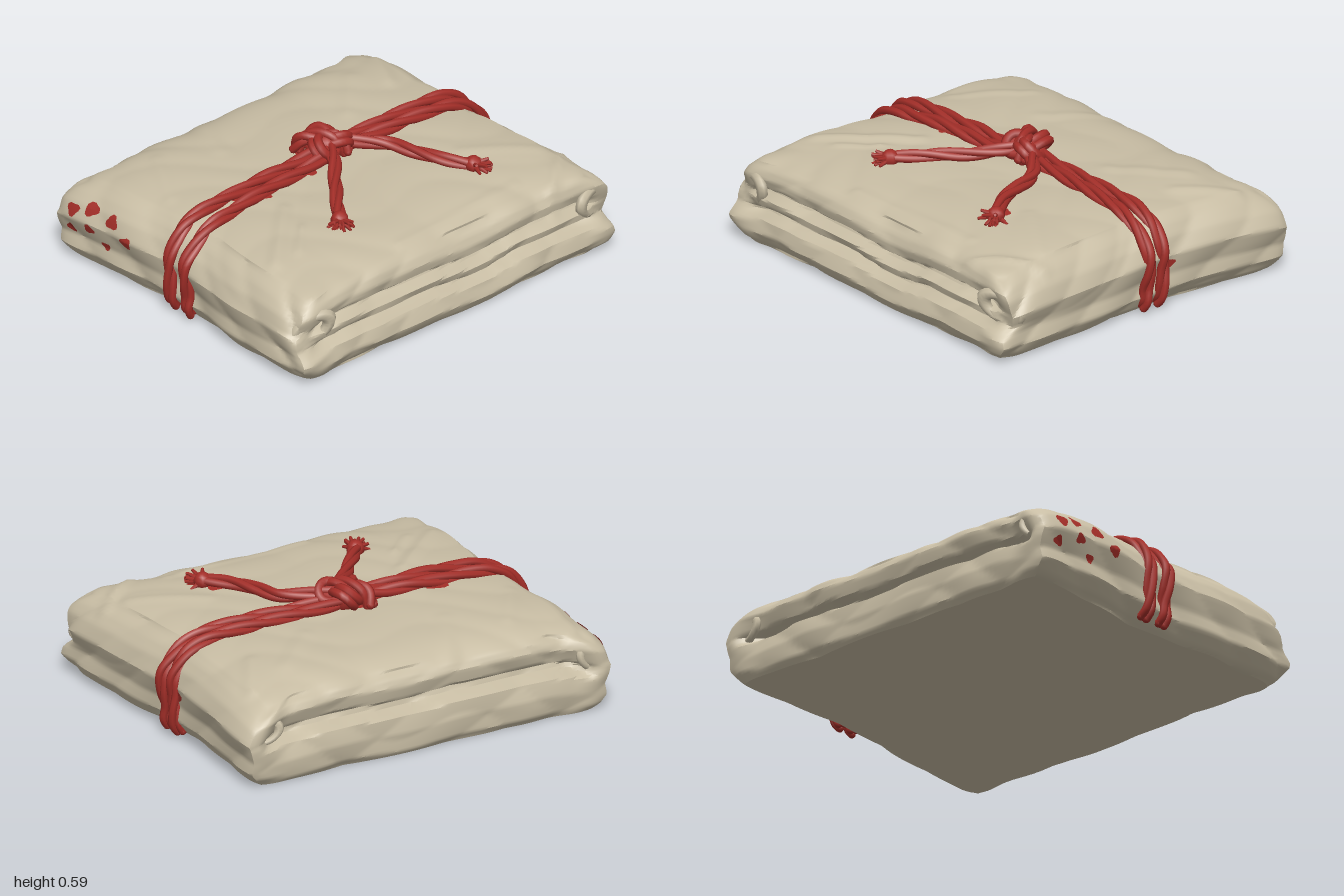
import * as THREE from 'three';
import { mergeVertices, mergeGeometries, toCreasedNormals } from 'three/addons/utils/BufferGeometryUtils.js';

const V = (x, y, z) => new THREE.Vector3(x, y, z);
const { sin, cos, abs, max, pow, PI } = Math;
const smooth = THREE.MathUtils.smoothstep;
const lerp = THREE.MathUtils.lerp;

// Outline of each side as [height fraction, distance from centre]
const SIDE = [[0, .88], [.05, .91], [.2, .955], [.36, .945], [.44, .955], [.6, .975], [.78, .94], [.9, .895], [1, .835]];
const FRONT = [[0, .79], [.06, .82], [.18, .85], [.35, .83], [.39, .77], [.43, .76], [.48, .81], [.58, .82], [.62, .765], [.66, .755], [.7, .79], [.82, .80], [.93, .78], [1, .74]];
const BACK = [[0, .80], [.08, .825], [.3, .835], [.5, .82], [.55, .74], [.62, .73], [.67, .78], [.85, .80], [.94, .78], [1, .74]];
const FRONT_CORNER = [[0, .81], [.1, .845], [.3, .85], [.45, .80], [.6, .815], [.85, .805], [1, .76]];
const BACK_CORNER = [[0, .81], [.1, .835], [.5, .85], [.8, .84], [.92, .815], [1, .77]];
// Raised wrinkles on the top: x0, z0, x1, z1, height, width
const RIDGES = [
  [-.8, .47, -.45, .15, .014, .05], [-.66, .47, -.5, .32, .01, .03], [-.25, .7, .5, .66, .01, .04],
  [.62, .78, .9, .55, .014, .04], [.5, .3, .8, .5, .008, .05], [-.3, -.45, -.15, -.75, .007, .06],
  [.35, -.3, .6, -.55, .008, .06], [-.75, -.3, -.55, -.6, .008, .05], [.7, -.4, .85, -.65, .01, .05]];

function sample(table, t) {
  t = THREE.MathUtils.clamp(t, 0, 1);
  let i = 0;
  while (i < table.length - 2 && t > table[i + 1][0]) i++;
  const [t0, v0] = table[i], [t1, v1] = table[i + 1];
  return lerp(v0, v1, (t - t0) / (t1 - t0));
}

// Soft folds with sharp ridges
const crumple = (a, t, c) =>
  abs(sin(5.1 * a + 3.3 * c + 4 * t + sin(4 * c))) + abs(sin(7.7 * c - 4.1 * a + 5 * t + 1.3 * sin(6 * a))) - 1.25;

function ridge(x, z) {
  let h = 0;
  for (const [x0, z0, x1, z1, k, w] of RIDGES) {
    const dx = x1 - x0, dz = z1 - z0;
    const s = THREE.MathUtils.clamp(((x - x0) * dx + (z - z0) * dz) / (dx * dx + dz * dz), 0, 1);
    h += k * max(0, 1 - Math.hypot(x - x0 - s * dx, z - z0 - s * dz) / w);
  }
  return h;
}

// Maps a block (a, c from -1 to 1, t from 0 to 1) to the folded cloth parcel
function cloth(a, t, c) {
  const n = crumple(a, t, c);
  const edge = pow(abs(a * c), 14);
  const wob = .025 * sin(5 * a + 1) + .015 * sin(11 * a);
  const end = smooth(abs(a), .78, .95);
  const face = c > 0 ? sample(FRONT, t + wob) : sample(BACK, t + wob * .7 + .1 * pow(abs(a), 4));
  const corner = sample(c > 0 ? FRONT_CORNER : BACK_CORNER, t + wob * .5);
  const wild = 1 + 1.8 * smooth(c, .7, 1) * end;
  // The cord pinches the sides a little
  const pinch = .015 * Math.exp(-pow((c + .08) / .25, 2));
  let hx = sample(SIDE, t + .02 * sin(4 * c)) - .015 * (1 - c * c) - pinch + .009 * n * wild;
  hx += a < 0 ? .025 * smooth(c, .1, .5) : .018 * smooth(-c, .4, .85) + .01 * smooth(c, .3, .8);
  const hz = lerp(face, corner, end) + .009 * n * wild + (c < 0 ? .008 * end : 0);
  const x = a * hx * (1 - .022 * edge), z = c * hz * (1 - .022 * edge);
  const drop = c > 0 ? .05 * pow(c, 5) : .02 * c * c + .04 * pow(c, 8);
  const top = .452 - drop - .03 * pow(a, 6) + .005 * n * wild + ridge(x, z);
  return V(x, t * top, z);
}

function clothGeometry() {
  let g = new THREE.BoxGeometry(2, 1, 2, 76, 36, 64);
  g.deleteAttribute('uv');
  g.deleteAttribute('normal');
  g.clearGroups();
  g = mergeVertices(g);
  const p = g.attributes.position;
  for (let i = 0; i < p.count; i++) {
    const q = cloth(p.getX(i), p.getY(i) + .5, p.getZ(i));
    p.setXYZ(i, q.x, q.y, q.z);
  }
  return toCreasedNormals(g, .6);
}

// Three strands loosely twisted around a path
function ropeGeometry(points, r = .03, closed = false) {
  const path = new THREE.CatmullRomCurve3(points, closed);
  const len = path.getLength(), N = Math.ceil(len / .016);
  const { normals, binormals } = path.computeFrenetFrames(N, closed);
  const turns = max(1, Math.round(len / .6));
  const parts = [];
  for (let s = 0; s < 3; s++) {
    const pts = [];
    for (let i = 0; i <= N - (closed ? 1 : 0); i++) {
      const w = (i / N) * turns * 2 * PI + s * 2 * PI / 3;
      pts.push(path.getPointAt(i / N).addScaledVector(normals[i], r * .5 * cos(w)).addScaledVector(binormals[i], r * .5 * sin(w)));
    }
    parts.push(new THREE.TubeGeometry(new THREE.CatmullRomCurve3(pts, closed), N, r * .58, 7, closed));
    if (!closed) for (const e of [pts[0], pts[pts.length - 1]])
      parts.push(new THREE.SphereGeometry(r * .58, 7, 5).translate(e.x, e.y, e.z));
  }
  return mergeGeometries(parts);
}

// Bound rope end with loose fibres fanning out
function frayGeometry(end, dir) {
  const parts = [new THREE.SphereGeometry(.042, 9, 7)];
  for (let i = 0; i < 19; i++) {
    const w = i * 2.4, k = 1.1 * Math.sqrt(i / 19);
    const d = dir.clone().add(V(cos(w) * k, sin(w) * k * .6, sin(w * 1.7) * k)).normalize();
    const q = new THREE.Quaternion().setFromUnitVectors(V(0, 1, 0), d);
    parts.push(new THREE.CylinderGeometry(.007, .016, .07 + .012 * (i % 3), 5).translate(0, .04, 0).applyQuaternion(q));
  }
  return mergeGeometries(parts).translate(end.x, end.y, end.z);
}

// Thin irregular patch lying on the cloth; at(u, v) gives its surface points
function patchGeometry(at, w, h, seed) {
  const g = new THREE.RingGeometry(.001, 1, 14, 3);
  const p = g.attributes.position;
  for (let i = 0; i < p.count; i++) {
    const k = 1 + .2 * sin(3 * Math.atan2(p.getY(i), p.getX(i)) + seed);
    const q = at(p.getX(i) * k * w, p.getY(i) * k * h);
    p.setXYZ(i, q.x, q.y, q.z);
  }
  g.computeVertexNormals();
  return g;
}

export function createModel() {
  const group = new THREE.Group();
  const linen = new THREE.MeshStandardMaterial({ color: 0xc8bda4 });
  linen.name = 'linen';
  const red = new THREE.MeshStandardMaterial({ color: 0xa32e28, side: THREE.DoubleSide });
  red.name = 'red cord';
  const add = (name, geo, mat) => {
    const m = new THREE.Mesh(geo, mat);
    m.name = name;
    group.add(m);
    return m;
  };

  add('clothParcel', clothGeometry(), linen);

  // Rolled cloth at the corners
  for (const sx of [-1, 1]) for (const sz of [-1, 1]) {
    const big = sz > 0 ? 1 : .7;
    const roll = add('cornerFold', new THREE.TorusGeometry(.075 * big, .028 * big, 7, 16, 5), linen);
    roll.position.set(sx * .86, .25, sz * (sz > 0 ? .775 : .795));
    roll.rotation.set(.15, sx * sz * .35, sx > 0 ? 1.2 : -1);
    roll.scale.set(.8, 1.25, .9);
  }

  // Cord wrapped over the top and down both sides: side, z at knot, z at edge
  for (const [s, z0, z1] of [[-1, -.1, -.09], [-1, -.04, .02], [1, -.12, -.12], [1, -.07, -.035]]) {
    const pts = [V(0, .49, z0)];
    for (const a of [.2, .4, .6, .8, .93]) {
      const z = lerp(z0, z1, a), q = cloth(s * a, 1, z / .77);
      pts.push(V(q.x, q.y + .016, z));
    }
    for (const t of [.96, .85, .7, .5, .3, .15, .08]) {
      const q = cloth(s, t, z1 / .8);
      pts.push(V(q.x + s * .01, q.y + (t > .9 ? .008 : 0), z1));
    }
    add('wrapCord', ropeGeometry(pts, .033), red);
  }

  // Knot
  const knot = [];
  for (let i = 0; i < 18; i++) {
    const w = i / 18 * 2 * PI;
    knot.push(V(.03 + .034 * (sin(w) + 1.7 * sin(2 * w)), .512 - .028 * sin(3 * w), -.09 + .036 * (cos(w) - 1.7 * cos(2 * w))));
  }
  add('knot', ropeGeometry(knot, .038, true), red);
  add('knotBand', ropeGeometry([V(-.06, .47, -.2), V(-.05, .53, -.17), V(0, .55, -.11), V(.05, .545, -.05), V(.08, .48, -.01)], .035), red);
  add('knotCore', new THREE.SphereGeometry(.075, 12, 8).translate(.02, .49, -.09), red);

  // Loose tails with frayed ends
  const tails = [
    [V(.02, .52, -.08), V(-.03, .505, .02), V(-.13, .485, .14), V(-.24, .48, .27), V(-.35, .468, .41)],
    [V(.05, .52, -.08), V(.14, .505, -.02), V(.25, .49, .07), V(.3, .485, .2), V(.35, .48, .33), V(.44, .467, .45)]];
  for (const t of tails) {
    const end = t[t.length - 1];
    add('cordTail', ropeGeometry(t, .032), red);
    add('frayedEnd', frayGeometry(end, end.clone().sub(t[t.length - 2]).normalize()), red);
  }

  // Red marks on the top: a, c, half width, half depth
  [[-.65, -.08, .06, .04], [-.36, -.08, .05, .03], [-.57, -.18, .07, .03], [.7, -.17, .06, .04], [.42, -.11, .14, .025], [-.54, .03, .03, .025], [-.18, -.02, .05, .04], [.5, .52, .04, .06], [-.06, -.2, .05, .06]]
    .forEach(([a, c, w, h], i) => add('redMark', patchGeometry((u, v) => cloth(a + u, 1, c - v).add(V(0, .005, 0)), w, h, i), red));
  // Red marks on the sides: side, height fraction, c, size
  [[-1, .7, -.84, .045], [-1, .77, -.72, .045], [-1, .55, -.7, .035], [-1, .74, -.55, .045], [-1, .45, -.87, .035], [-1, .6, -.42, .04], [-1, .4, -.6, .03], [1, .52, -.19, .035]]
    .forEach(([s, t, c, k], i) => add('redMark', patchGeometry((u, v) => cloth(s, t + v * 1.6, c - s * u).add(V(s * .006, .001, 0)), k, k, i), red));

  return group;
}
